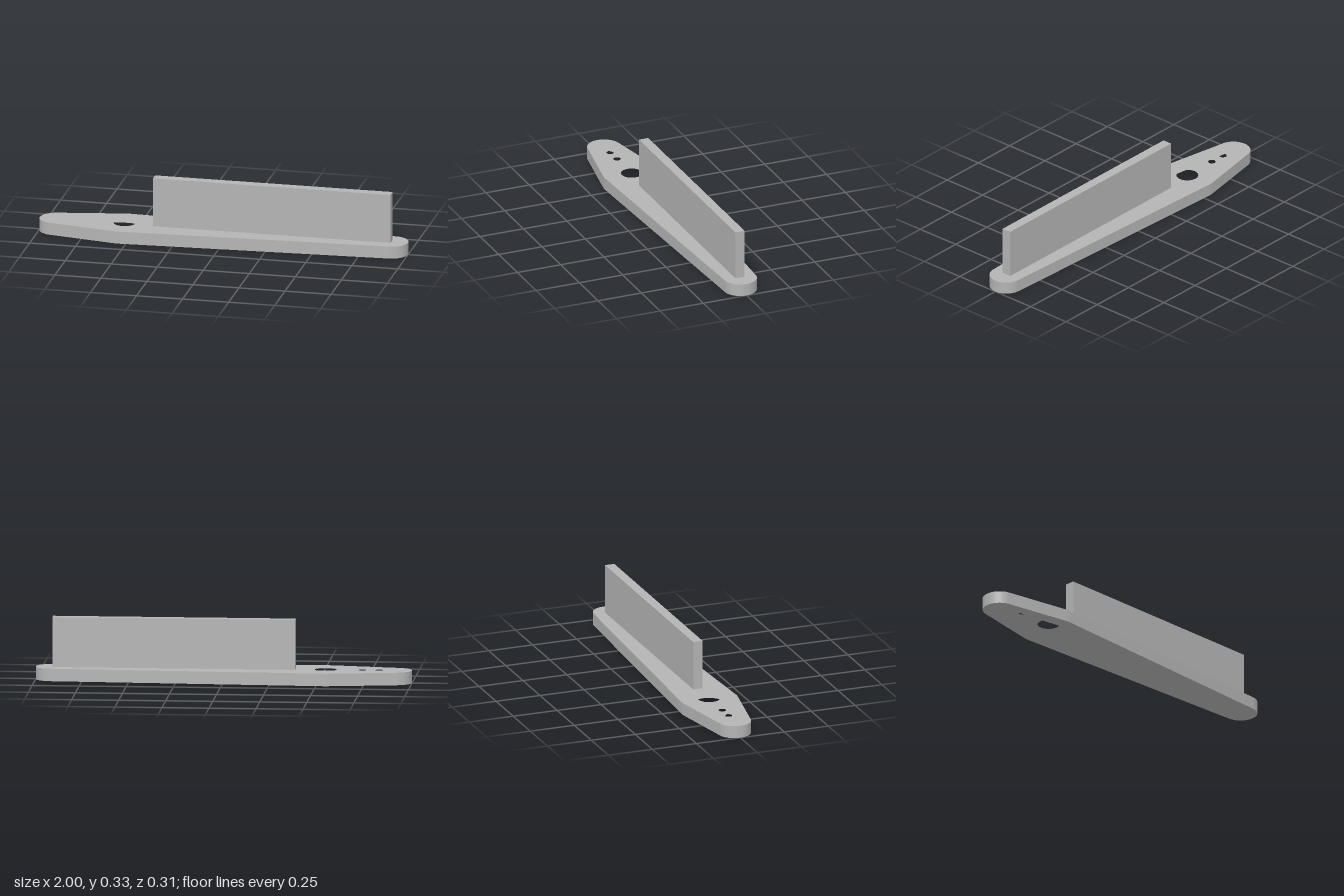
import * as THREE from 'three';
import { toCreasedNormals } from 'three/addons/utils/BufferGeometryUtils.js';

// Outline wrapped tightly around circles [x, r] lying on the x axis, left to right
function wrap(circles, PathType) {
  const upper = [];
  const tangent = ([x1, r1], [x2, r2]) => Math.acos((r1 - r2) / (x2 - x1));
  circles.forEach(([x, r], i) => {
    const from = i === 0 ? Math.PI : tangent(circles[i - 1], circles[i]);
    const to = i === circles.length - 1 ? 0 : tangent(circles[i], circles[i + 1]);
    const steps = Math.max(2, Math.ceil(Math.abs(from - to) / 0.1));
    for (let k = 0; k <= steps; k++) {
      const a = from + ((to - from) * k) / steps;
      upper.push(new THREE.Vector2(x + r * Math.cos(a), r * Math.sin(a)));
    }
  });
  const lower = upper.slice(1, -1).reverse().map((p) => new THREE.Vector2(p.x, -p.y));
  return new PathType([...upper, ...lower]);
}

// Horizontal slab with openings, between two heights
function slab(name, holes, y0, y1, material) {
  const shape = wrap([[-0.91, 0.09], [-0.54, 0.156], [0.911, 0.089]], THREE.Shape);
  shape.holes.push(...holes);
  const geo = new THREE.ExtrudeGeometry(shape, { depth: y1 - y0, bevelEnabled: false, curveSegments: 40 });
  geo.rotateX(-Math.PI / 2);
  geo.translate(0, y0, 0);
  const mesh = new THREE.Mesh(toCreasedNormals(geo, 0.35), material);
  mesh.name = name;
  return mesh;
}

export function createModel() {
  const group = new THREE.Group();
  group.name = 'leverArm';
  const grey = new THREE.MeshStandardMaterial({ color: 0xb4b4b4 });
  grey.name = 'grey';

  const recessTop = 0.039, plateTop = 0.067, finTop = 0.334;

  // Lower half of the plate, open where the tapered recess is cut from below
  const recess = wrap([[-0.54, 0.085], [-0.87, 0.04]].reverse(), THREE.Path);
  group.add(slab('plateLower', [recess], 0, recessTop, grey));

  // Upper half of the plate, with the shaft hole and two screw holes
  const holes = [[-0.54, 0.058], [-0.737, 0.02], [-0.826, 0.02]].map(([x, r]) =>
    new THREE.Path().absarc(x, 0, r, 0, Math.PI * 2, true));
  group.add(slab('plateUpper', holes, recessTop, plateTop, grey));

  // Upright fin
  const fin = new THREE.Mesh(new THREE.BoxGeometry(1.29, finTop - plateTop, 0.053), grey);
  fin.position.set(0.265, (finTop + plateTop) / 2, 0);
  fin.name = 'fin';
  group.add(fin);

  return group;
}
